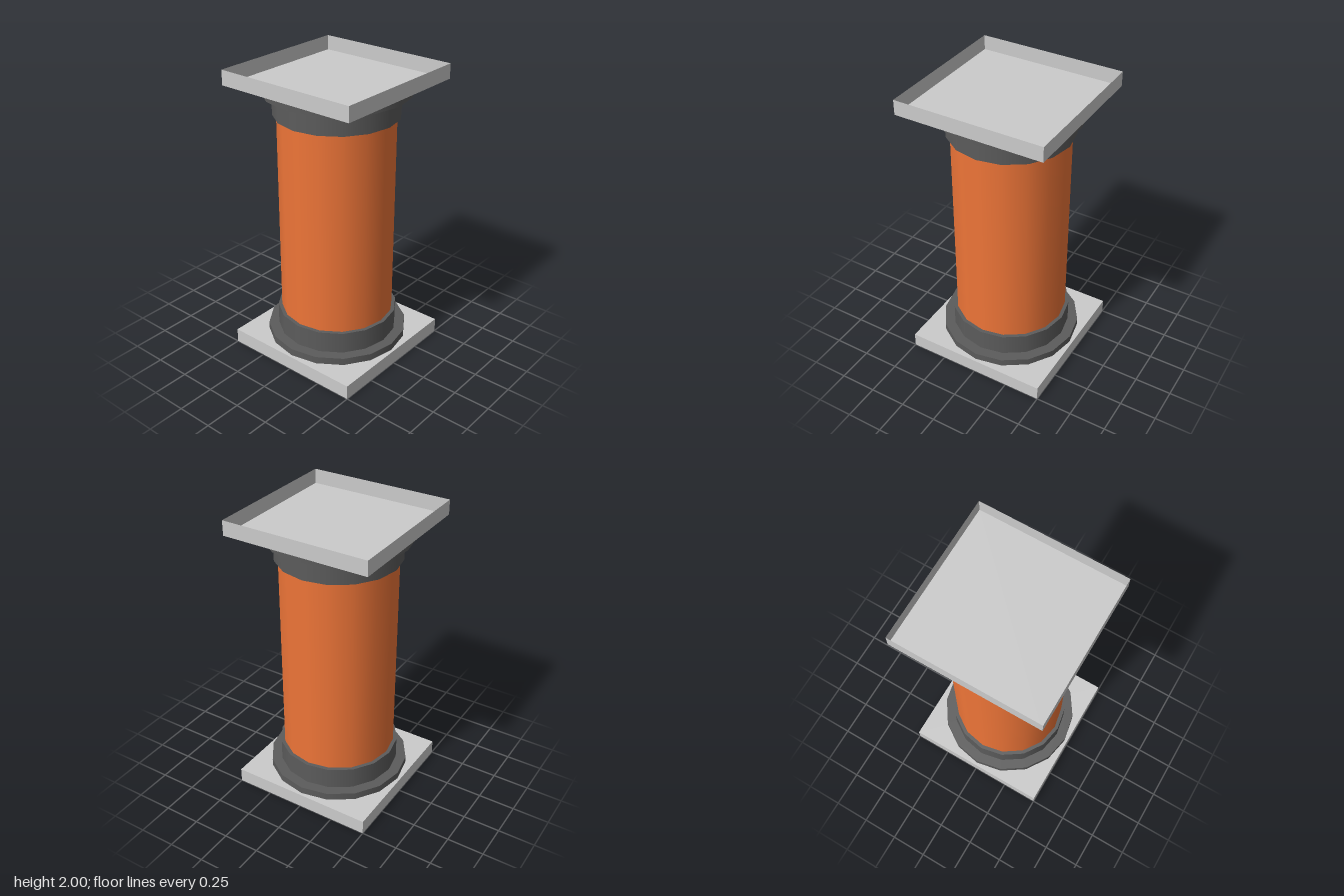
import * as THREE from 'three';
import { mergeGeometries } from 'three/addons/utils/BufferGeometryUtils.js';

const SIDES = 16;
const SHAFT_R = 0.385;
const grey = new THREE.MeshStandardMaterial({ color: 0xcccccc, side: THREE.DoubleSide });
const dark = new THREE.MeshStandardMaterial({ color: 0x5c5c5c });
const orange = new THREE.MeshStandardMaterial({ color: 0xee7538 });

function addMesh(parent, name, geometry, material) {
  const mesh = new THREE.Mesh(geometry, material);
  mesh.name = name;
  parent.add(mesh);
}

// Open tube from y0 to y1, without caps
function tube(radius, y0, y1) {
  return new THREE.CylinderGeometry(radius, radius, y1 - y0, SIDES, 1, true)
    .translate(0, (y0 + y1) / 2, 0);
}

// Tube closed on top by a flat ring that reaches in to the next part
function step(radius, innerRadius, y0, y1) {
  const ledge = new THREE.RingGeometry(innerRadius, radius, SIDES)
    .rotateX(-Math.PI / 2).translate(0, y1, 0);
  return mergeGeometries([tube(radius, y0, y1), ledge]);
}

// Square tray: a thin-walled box with its bottom face left out
function tray(width, height) {
  const box = new THREE.BoxGeometry(width, height, width).translate(0, height / 2, 0);
  const index = Array.from(box.index.array);
  index.splice(18, 6);
  box.setIndex(index);
  box.clearGroups();
  return box;
}

// One end of the column: plate, flange and collar, standing on y = 0
function columnEnd(name) {
  const end = new THREE.Group();
  end.name = name;
  addMesh(end, 'plate', tray(1, 0.1), grey);
  addMesh(end, 'flange', step(0.48, 0.41, 0.1, 0.15), dark);
  addMesh(end, 'collar', step(0.41, SHAFT_R, 0.15, 0.3), dark);
  return end;
}

export function createModel() {
  const model = new THREE.Group();
  model.name = 'column';

  addMesh(model, 'shaft', tube(SHAFT_R, 0.3, 1.7), orange);
  model.add(columnEnd('base'));

  // The capital is the base turned upside down
  const capital = columnEnd('capital');
  capital.rotation.x = Math.PI;
  capital.position.y = 2;
  model.add(capital);

  return model;
}
